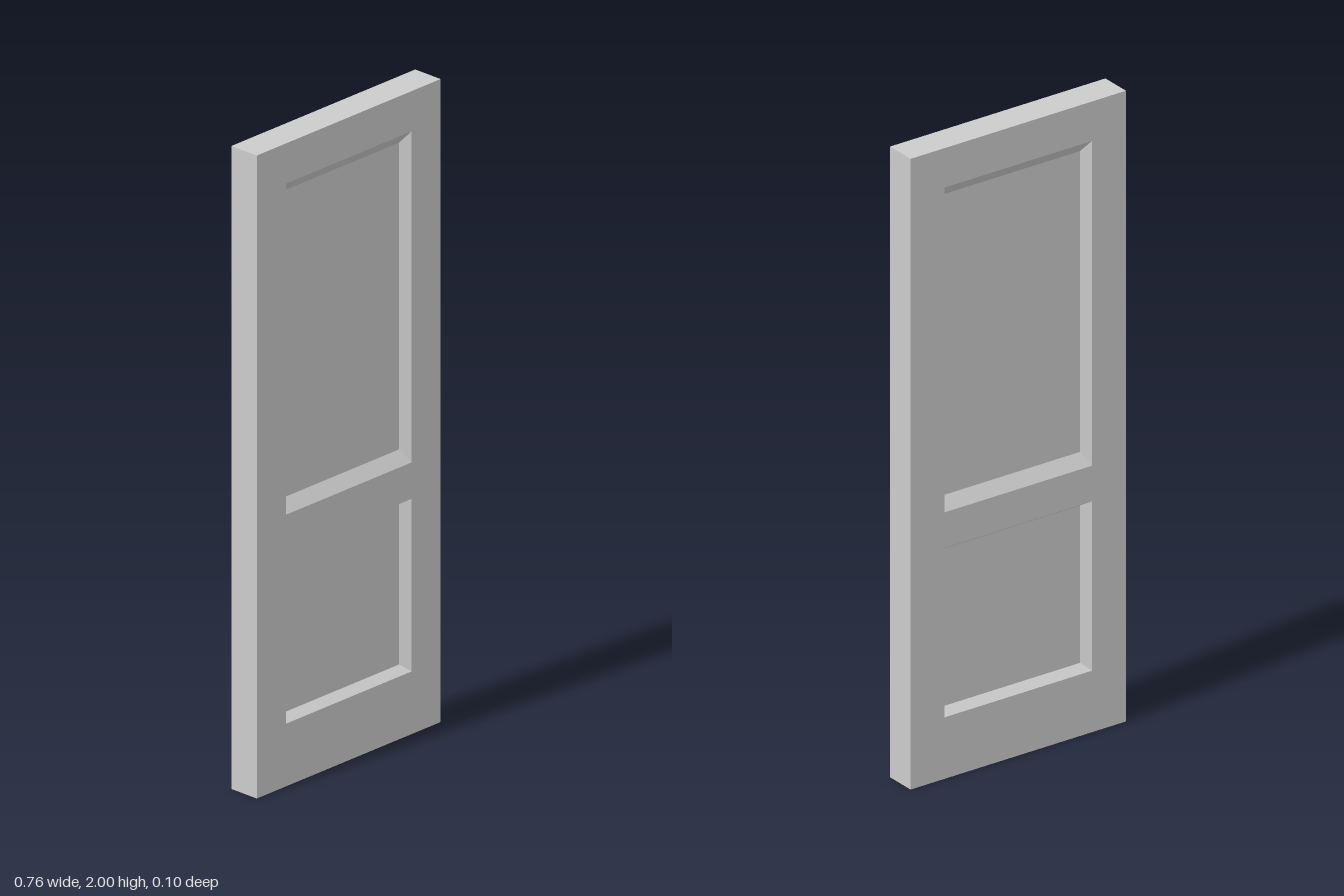
import * as THREE from 'three';

const W = 0.76, H = 2, T = 0.1, RECESS = 0.03;

// Each recess: opening half width and height range, inset of the panel face
const RECESSES = [
  { name: 'upper', x: 0.26, y0: 0.845, y1: 1.875, insetX: 0.02, insetY: 0.038 },
  { name: 'lower', x: 0.26, y0: 0.195, y1: 0.732, insetX: 0.02, insetY: 0.019 },
];

// Rectangle corners, counter-clockwise seen from the front
const corners = (x, y0, y1) => [[-x, y0], [x, y0], [x, y1], [-x, y1]];

// Four mitred sloping strips from the opening edge down to the panel face
function mouldingGeometry(r) {
  const outer = corners(r.x, r.y0, r.y1);
  const inner = corners(r.x - r.insetX, r.y0 + r.insetY, r.y1 - r.insetY);
  const pos = [];
  for (let i = 0; i < 4; i++) {
    const j = (i + 1) % 4;
    const a = [...outer[i], T / 2], b = [...outer[j], T / 2];
    const c = [...inner[j], T / 2 - RECESS], d = [...inner[i], T / 2 - RECESS];
    pos.push(...a, ...b, ...c, ...a, ...c, ...d);
  }
  const g = new THREE.BufferGeometry();
  g.setAttribute('position', new THREE.Float32BufferAttribute(pos, 3));
  g.computeVertexNormals();
  return g;
}

export function createModel() {
  const group = new THREE.Group();
  group.name = 'panelDoor';
  const paint = new THREE.MeshStandardMaterial({ color: 0xcccccc });
  paint.name = 'light grey';

  const add = (name, geometry) => {
    const mesh = new THREE.Mesh(geometry, paint);
    mesh.name = name;
    group.add(mesh);
    return mesh;
  };

  // Frame of stiles and rails with two openings
  const shape = new THREE.Shape(corners(W / 2, 0, H).map(p => new THREE.Vector2(...p)));
  for (const r of RECESSES) {
    shape.holes.push(new THREE.Path(corners(r.x, r.y0, r.y1).reverse().map(p => new THREE.Vector2(...p))));
  }
  const frame = new THREE.ExtrudeGeometry(shape, { depth: T, bevelEnabled: false });
  frame.translate(0, 0, -T / 2);
  add('frame', frame);

  for (const r of RECESSES) {
    // Sunken panel, seen from both faces
    const panel = new THREE.BoxGeometry(2 * (r.x - r.insetX), r.y1 - r.y0 - 2 * r.insetY, T - 2 * RECESS);
    panel.translate(0, (r.y0 + r.y1) / 2, 0);
    add(r.name + 'Panel', panel);

    // Sloping moulding on the front and, turned round, on the back
    const moulding = mouldingGeometry(r);
    add(r.name + 'FrontMoulding', moulding);
    add(r.name + 'BackMoulding', moulding).rotation.y = Math.PI;
  }
  return group;
}
